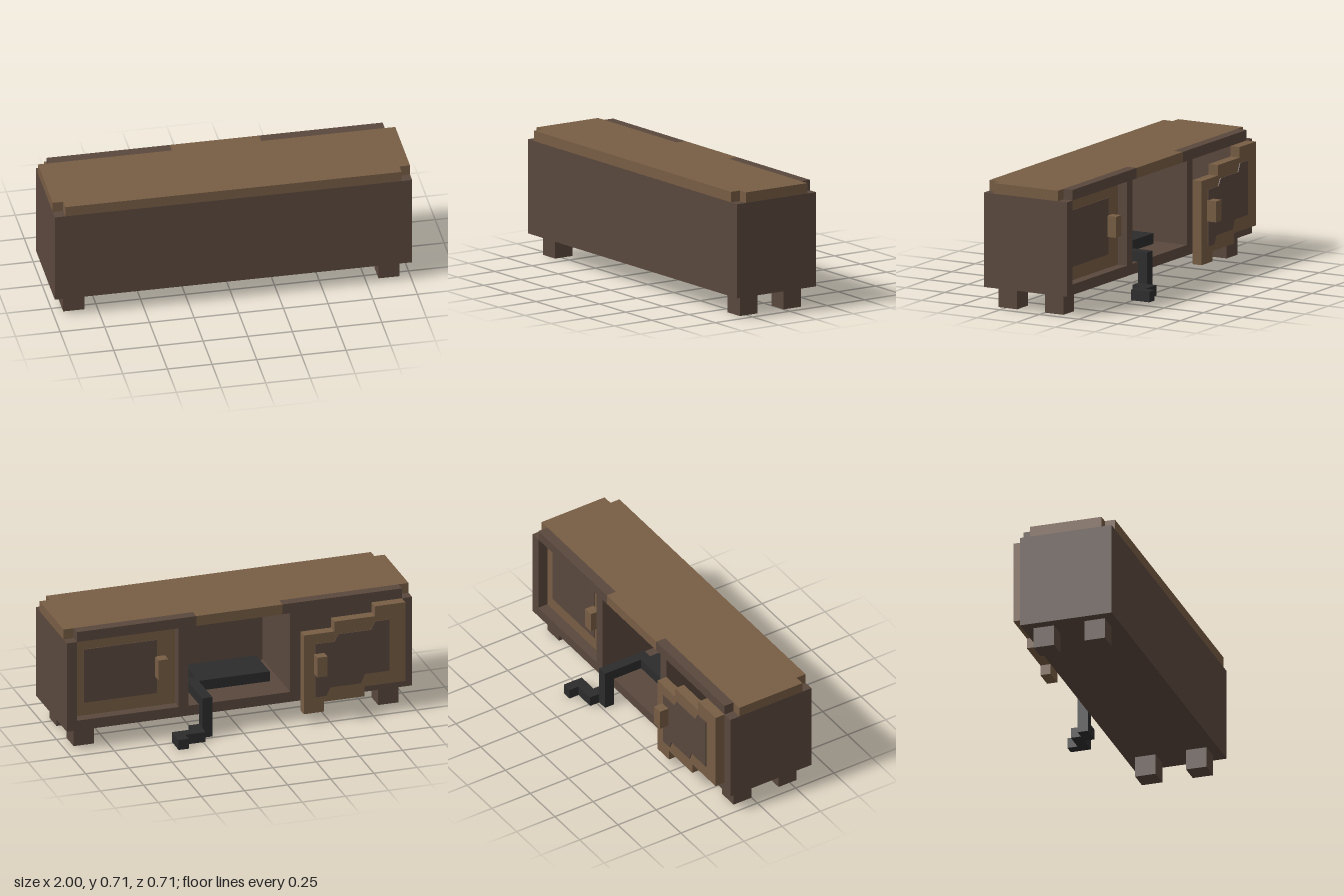
import * as THREE from 'three';

const U = 2 / 34; // one grid step of the blocky design

export function createModel() {
  const model = new THREE.Group();
  model.name = 'cabinet';
  const flat = (name, color) => {
    const m = new THREE.MeshStandardMaterial({ color });
    m.name = name;
    return m;
  };
  const darkWood = flat('darkWood', 0x5a483d);
  const lightWood = flat('lightWood', 0x775d44);
  const black = flat('black', 0x2c2c2c);

  const add = (name, geo, mat) => {
    const mesh = new THREE.Mesh(geo, mat);
    mesh.name = name;
    model.add(mesh);
    return mesh;
  };
  // box from its low and high corners, in grid steps
  const box = (name, mat, x0, y0, z0, x1, y1, z1) => {
    const geo = new THREE.BoxGeometry((x1 - x0) * U, (y1 - y0) * U, (z1 - z0) * U);
    geo.translate((x0 + x1) / 2 * U, (y0 + y1) / 2 * U, (z0 + z1) / 2 * U);
    return add(name, geo, mat);
  };
  // the same box on both sides of the model
  const pair = (name, mat, x0, y0, z0, x1, y1, z1) => {
    box(name + 'Left', mat, x0, y0, z0, x1, y1, z1);
    box(name + 'Right', mat, -x1, y0, z0, -x0, y1, z1);
  };
  const extrude = (points, depth) => {
    const shape = new THREE.Shape(points.map(([x, y]) => new THREE.Vector2(x * U, y * U)));
    return new THREE.ExtrudeGeometry(shape, { depth: depth * U, bevelEnabled: false });
  };

  // carcass, open at the back
  box('floor', darkWood, -17, 2, -3, 17, 3, 6);
  box('frontWall', darkWood, -17, 3, 5, 17, 11, 6);
  pair('sideWall', darkWood, 16, 3, -3, 17, 11, 5);
  pair('partition', darkWood, 5, 3, -3, 6, 11, 5);

  // top slab with notched corners and a tongue reaching the back edge
  const half = [[4.25, -3], [4.25, -2], [17, -2], [17, 5], [16, 5], [16, 6]];
  const outline = [...half, ...half.map(([x, z]) => [-x, z]).reverse()];
  const slab = extrude(outline, 1);
  slab.rotateX(Math.PI / 2);
  slab.translate(0, 12 * U, 0);
  add('topSlab', slab, lightWood);
  pair('topRail', darkWood, 4.25, 11, -3, 16, 12, -2);

  // feet
  for (const z of [-2, 3]) pair(z < 0 ? 'backFoot' : 'frontFoot', darkWood, 14, 0, z, 16, 2, z + 2);

  // closed door, set into its opening
  box('closedDoor', lightWood, 6, 3, -2, 16, 11, -1);
  box('closedDoorPanel', darkWood, 7.8, 4.3, -2.08, 15, 9.7, -2);
  box('closedDoorHandle', lightWood, 7, 6, -3, 8, 8, -2);

  // loose door, hanging askew in steps
  const door = extrude([
    [-16, 3], [-12, 3], [-12, 2], [-8, 2], [-8, 1], [-6, 1],
    [-6, 9], [-9, 9], [-9, 10], [-13, 10], [-13, 11], [-16, 11],
  ], 1);
  door.translate(0, 0, -4 * U);
  add('looseDoor', door, lightWood);
  const panel = extrude([
    [-14.4, 4.3], [-12, 4.3], [-11.6, 3.4], [-8.6, 3.4], [-8.2, 2.6], [-7.1, 2.6],
    [-7.1, 8], [-9, 8], [-9.4, 8.7], [-12.6, 8.7], [-13, 9.5], [-14.4, 9.5],
  ], 0.08);
  panel.translate(0, 0, -4.08 * U);
  add('looseDoorPanel', panel, darkWood);
  box('looseDoorHandle', lightWood, -8, 5, -5, -7, 7, -4);

  // black spill inside, running over the edge to the ground
  box('spillPool', black, -4, 3, 0, 3, 4, 4);
  box('spillArm', black, 3, 3, -3, 4, 4, 1);
  box('spillDrop', black, 3, 0, -4, 4, 4, -3);
  box('spillGroundA', black, 4, 0, -4, 5, 1, -3);
  box('spillGroundB', black, 4, 0, -5, 7, 1, -4);
  box('spillGroundC', black, 6, 0, -6, 7, 1, -5);

  return model;
}
